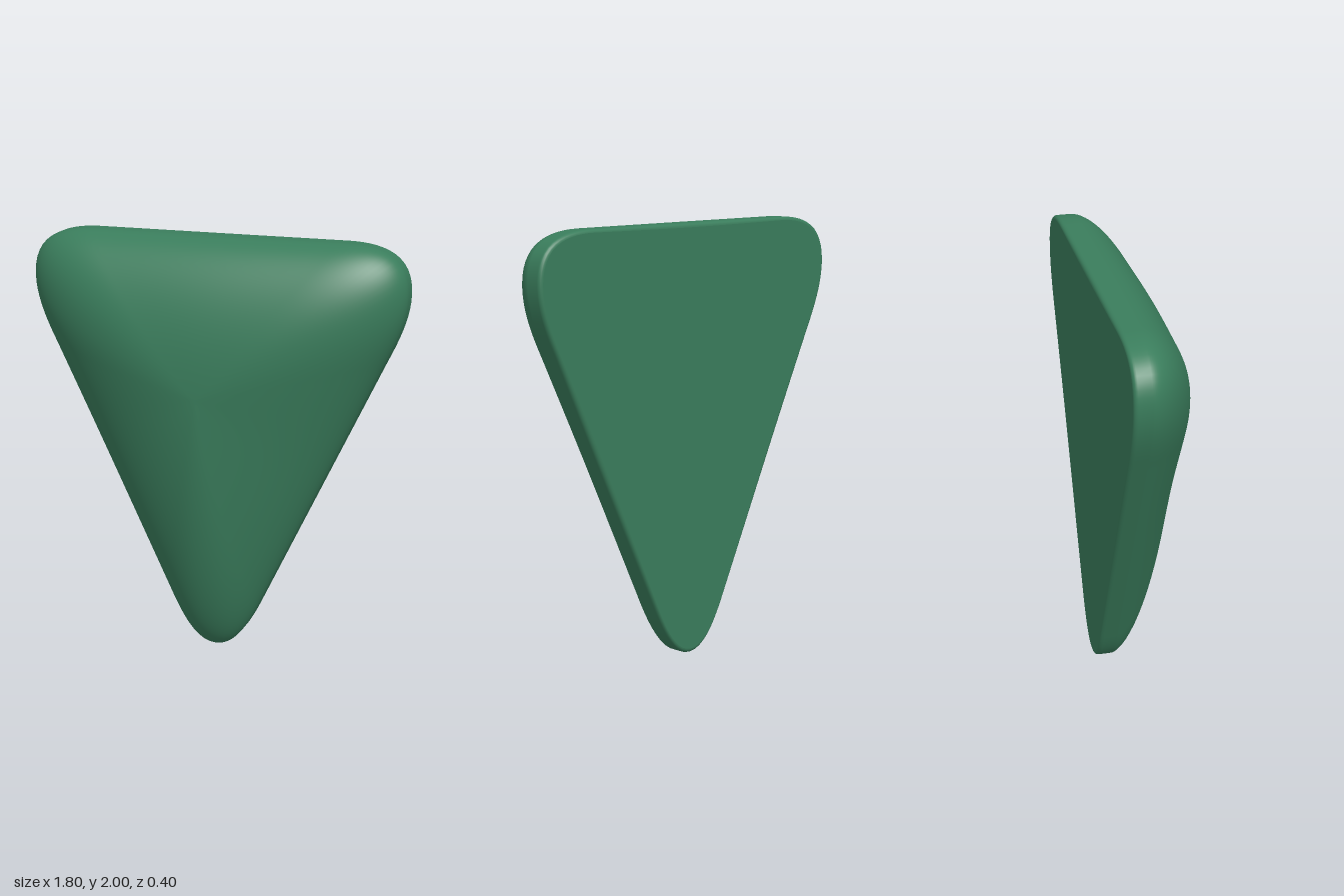
import * as THREE from 'three';

const CENTRE_Y = 1.3, RIM_Z = -0.12, BACK_Z = -0.2, BEVEL = 0.02, DOME_H = 0.32;

// Rounded triangle, point down, counter-clockwise seen from the front
function outline() {
  const s = new THREE.Shape();
  s.moveTo(0, 0);
  s.bezierCurveTo(0.08, 0, 0.14, 0.08, 0.2, 0.2);
  s.lineTo(0.8, 1.46);
  s.bezierCurveTo(0.86, 1.58, 0.9, 1.68, 0.9, 1.78);
  s.bezierCurveTo(0.9, 1.92, 0.82, 2, 0.6, 2);
  s.lineTo(-0.6, 2);
  s.bezierCurveTo(-0.82, 2, -0.9, 1.92, -0.9, 1.78);
  s.bezierCurveTo(-0.9, 1.68, -0.86, 1.58, -0.8, 1.46);
  s.lineTo(-0.2, 0.2);
  s.bezierCurveTo(-0.14, 0.08, -0.08, 0, 0, 0);
  return s.getSpacedPoints(200).slice(0, -1);
}

// Domed front and rounded rim, as scaled copies of the outline
function shellGeometry(pts) {
  const n = pts.length, rings = 44, bevelSteps = 5;
  const pos = [0, CENTRE_Y, RIM_Z + DOME_H], idx = [];
  const addRing = (zAt, scaleAt) => pts.forEach((p) => {
    const dy = p.y - CENTRE_Y, r = Math.hypot(p.x, dy), k = scaleAt(r);
    pos.push(p.x * k, CENTRE_Y + dy * k, zAt(dy / r));
  });
  // dome: fuller towards the top edge, flatter towards the point
  for (let i = 1; i <= rings; i++) {
    const t = Math.sin((i / rings) * Math.PI / 2);
    addRing((up) => {
      const s = ((1 + up) / 2) ** 2;
      const p = 1.65 + 0.6 * s, q = 0.61 - 0.11 * s;
      return RIM_Z + DOME_H * Math.max(0, 1 - t ** p) ** q;
    }, () => t);
  }
  // side wall and small rounding at the back
  for (let i = 0; i <= bevelSteps; i++) {
    const a = (i / bevelSteps) * Math.PI / 2;
    addRing(() => BACK_Z + BEVEL * (1 - Math.sin(a)), (r) => 1 - BEVEL * (1 - Math.cos(a)) / r);
  }
  const total = rings + bevelSteps + 1;
  for (let k = 0; k < n; k++) {
    const k1 = (k + 1) % n;
    idx.push(0, 1 + k, 1 + k1);
    for (let i = 0; i < total - 1; i++) {
      const a = 1 + i * n, c = a + n;
      idx.push(a + k, c + k, c + k1, a + k, c + k1, a + k1);
    }
  }
  const g = new THREE.BufferGeometry();
  g.setAttribute('position', new THREE.Float32BufferAttribute(pos, 3));
  g.setIndex(idx);
  g.computeVertexNormals();
  return g;
}

export function createModel() {
  const group = new THREE.Group();
  group.name = 'roundedTriangle';
  const green = new THREE.MeshStandardMaterial({ color: 0x3a7d5c });
  const pts = outline();

  const shell = new THREE.Mesh(shellGeometry(pts), green);
  shell.name = 'domedShell';
  group.add(shell);

  // flat back, turned to face -z
  const inset = pts.map((p) => {
    const dy = p.y - CENTRE_Y, k = 1 - BEVEL / Math.hypot(p.x, dy);
    return new THREE.Vector2(p.x * k, CENTRE_Y + dy * k);
  });
  const back = new THREE.Mesh(new THREE.ShapeGeometry(new THREE.Shape(inset)), green);
  back.name = 'flatBack';
  back.rotation.y = Math.PI;
  back.position.z = BACK_Z;
  group.add(back);
  return group;
}
